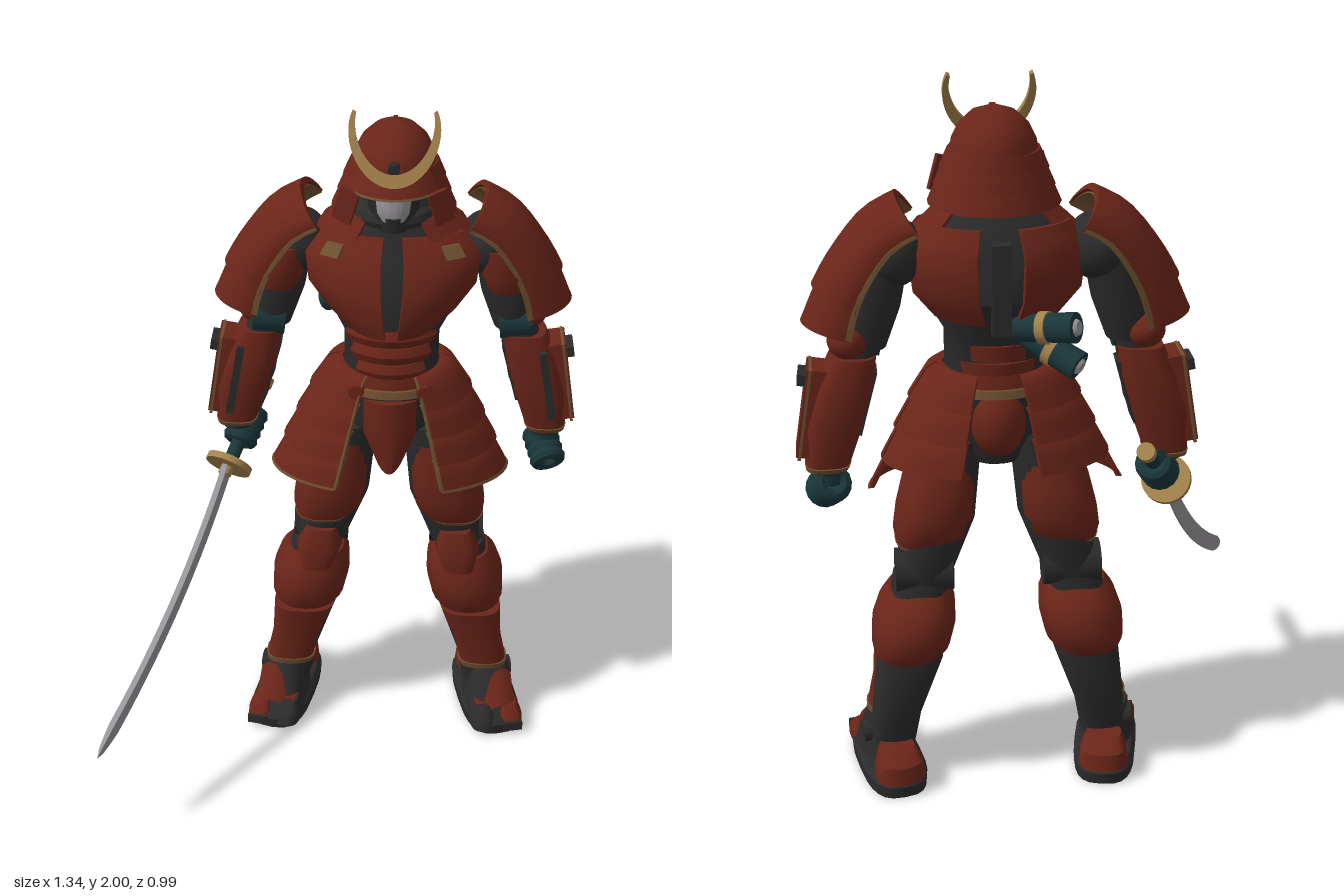
import * as THREE from 'three';
import { toCreasedNormals } from 'three/addons/utils/BufferGeometryUtils.js';

const mat = (name, color) => Object.assign(new THREE.MeshStandardMaterial({ color }), { name });
const V = (...p) => new THREE.Vector3(...p);

// Samples evenly spaced rows of numbers at v in 0..1
function sample(rows, v) {
  const f = Math.min(Math.max(v, 0), 1) * (rows.length - 1), i = Math.min(Math.floor(f), rows.length - 2);
  return rows[i].map((a, k) => a + (rows[i + 1][k] - a) * (f - i));
}
// Moves every vertex of a geometry by a rule
function warp(geo, rule) {
  const p = geo.attributes.position, q = V();
  for (let i = 0; i < p.count; i++) {
    q.copy(rule(q.fromBufferAttribute(p, i)));
    p.setXYZ(i, q.x, q.y, q.z);
  }
  return geo;
}
// Curved plate: rule(u, v, w), w runs through its thickness
const slab = (rule, nu = 12, nv = 6) =>
  warp(new THREE.BoxGeometry(1, 1, 1, nu, nv, 1), q => rule(q.x + 0.5, q.y + 0.5, q.z + 0.5));
// Plate wrapped round the body; angle 0 is the front, rows are [y, rx, rz, zCentre]
const wrap = (a0, a1, rows, t = 0.015) => slab((u, v, w) => {
  const [y, rx, rz, zc] = sample(rows, v), a = a0 + (a1 - a0) * u;
  return V((rx + w * t) * Math.sin(a), y, zc + (rz + w * t) * Math.cos(a));
}, 16, (rows.length - 1) * 2);
// Solid through superellipse sections [x, y, z, rx, rz]
const loft = (secs, p = 2.4) => {
  const f = c => Math.sign(c) * Math.abs(c) ** (2 / p);
  return warp(new THREE.CylinderGeometry(1, 1, 1, 24, secs.length - 1), q => {
    const [x, y, z, rx, rz] = sample(secs, q.y + 0.5);
    return V(x + rx * f(q.x), y, z + rz * f(q.z));
  });
};
const rod = (a, b, r1, r2 = r1, n = 18) => {
  const d = b.clone().sub(a), g = new THREE.CylinderGeometry(r2, r1, d.length(), n);
  g.applyQuaternion(new THREE.Quaternion().setFromUnitVectors(V(0, 1, 0), d.normalize()));
  const m = a.clone().add(b).multiplyScalar(0.5);
  return g.translate(m.x, m.y, m.z);
};
const ball = (x, y, z, rx, ry = rx, rz = rx) => new THREE.SphereGeometry(1, 20, 14).scale(rx, ry, rz).translate(x, y, z);
// Box tilted about z
const box = (x, y, z, w, h, d, tilt = 0) => new THREE.BoxGeometry(w, h, d).rotateZ(tilt).translate(x, y, z);
// Optional mirroring, outward winding and creased normals
function finish(src, mirror) {
  const g = src.index ? src.toNonIndexed() : src.clone();
  g.deleteAttribute('uv'); g.deleteAttribute('normal'); g.clearGroups();
  if (mirror) g.scale(-1, 1, 1);
  const p = g.attributes.position, a = V(), b = V(), c = V();
  let vol = 0;
  for (let i = 0; i < p.count; i += 3) {
    a.fromBufferAttribute(p, i); b.fromBufferAttribute(p, i + 1); c.fromBufferAttribute(p, i + 2);
    vol += a.dot(b.cross(c));
  }
  if (vol < 0) for (let i = 0; i < p.count; i += 3) {
    b.fromBufferAttribute(p, i + 1); c.fromBufferAttribute(p, i + 2);
    p.setXYZ(i + 1, c.x, c.y, c.z); p.setXYZ(i + 2, b.x, b.y, b.z);
  }
  return toCreasedNormals(g, 0.7);
}

export function createModel() {
  const red = mat('red lacquer', 0x6b2519), dark = mat('dark frame', 0x2b2b2b), gold = mat('gold', 0xa3824c);
  const trim = mat('bronze trim', 0x6f5030), teal = mat('dark teal', 0x1a363a), steel = mat('steel', 0x99969b);
  const model = new THREE.Group(), body = new THREE.Group();
  model.name = 'armouredWarrior'; body.name = 'body';
  body.position.x = 0.135;
  model.add(body);
  const add = (name, geo, m, parent = body, mirror = false) => {
    const mesh = new THREE.Mesh(finish(geo, mirror), m);
    mesh.name = name;
    parent.add(mesh);
  };
  const pair = (name, geo, m) => { add(name + 'Left', geo, m); add(name + 'Right', geo, m, body, true); };
  const PI = Math.PI;

  // Torso
  add('torsoFrame', loft([[0, 0.97, -0.2, 0.07, 0.09], [0, 1.1, -0.2, 0.15, 0.13], [0, 1.22, -0.2, 0.135, 0.125],
    [0, 1.34, -0.205, 0.135, 0.13], [0, 1.46, -0.235, 0.2, 0.18], [0, 1.58, -0.25, 0.22, 0.15],
    [0, 1.66, -0.25, 0.15, 0.11], [0, 1.74, -0.23, 0.07, 0.07]]), dark);
  pair('chestPlate', wrap(0.12, 1.15, [[1.37, 0.13, 0.18, -0.235], [1.42, 0.18, 0.19, -0.235], [1.5, 0.24, 0.185, -0.235],
    [1.58, 0.25, 0.15, -0.235], [1.64, 0.2, 0.1, -0.235]]), red);
  pair('chestTrim', wrap(0.6, 0.85, [[1.59, 0.258, 0.159, -0.235], [1.62, 0.233, 0.133, -0.235]], 0.009), trim);
  pair('backPlate', wrap(PI - 1.2, PI - 0.25, [[1.4, 0.16, 0.15, -0.235], [1.47, 0.22, 0.18, -0.235],
    [1.58, 0.235, 0.185, -0.235], [1.65, 0.19, 0.15, -0.235]]), red);
  add('spine', box(0, 1.5, -0.405, 0.05, 0.24, 0.04), dark);
  pair('collarPlate', wrap(0.5, 2.3, [[1.63, 0.2, 0.13, -0.25], [1.685, 0.14, 0.105, -0.25]]), red);
  add('neckRing', new THREE.TorusGeometry(0.095, 0.024, 8, 24).rotateX(PI / 2).translate(0, 1.685, -0.23), dark);
  for (let i = 0; i < 3; i++) {
    const y = 1.23 + i * 0.052, r = 0.122 + i * 0.006, a = 0.75 + i * 0.1;
    add('abdomenBand' + i, wrap(-a, a, [[y, r, 0.126, -0.2], [y + 0.025, r + 0.012, 0.136, -0.2], [y + 0.048, r, 0.126, -0.2]], 0.012), red);
  }
  for (let i = 0; i < 2; i++) {
    const y = 1.23 + i * 0.048;
    add('lowerBackBand' + i, wrap(PI - 0.85, PI + 0.85, [[y, 0.122, 0.126, -0.2], [y + 0.044, 0.127, 0.13, -0.2]], 0.012), red);
  }

  // Belt and layered skirt
  add('belt', wrap(-PI, PI, [[1.18, 0.155, 0.14, -0.2], [1.24, 0.14, 0.13, -0.2]], 0.012), red);
  for (const [side, a] of [['front', 0], ['rear', PI]])
    add(side + 'BeltChain', wrap(a - 0.5, a + 0.5, [[1.183, 0.168, 0.153, -0.2], [1.205, 0.161, 0.148, -0.2]], 0.009), trim);
  pair('beltBoss', rod(V(0.093, 1.2, -0.1), V(0.097, 1.2, -0.045), 0.026, 0.022), red);
  for (let i = 0; i < 4; i++) {
    const y = 1.24 - i * 0.087, at = (h, e) => {
      const s = (1.24 - h) / 0.35;
      return [h, 0.155 + 0.165 * s ** 0.85 + e, 0.135 + 0.045 * Math.sqrt(s) + e, -0.2 - 0.01 * s];
    };
    const rows = [at(y - 0.092, 0.012), at(y - 0.015, 0.004), at(y, -0.008)], a = 0.44 + 0.01 * i;
    pair('sideSkirt' + i, wrap(a, 1.62, rows), red);
    pair('skirtEdge' + i, wrap(a - 0.014, a + 0.01, rows, 0.016), trim);
    if (i < 3) pair('rearSkirt' + i, wrap(1.68, PI - 0.35, rows), red);
    else pair('skirtTrim', wrap(0.47, 1.62, [at(0.885, 0.013), at(0.892, 0.012)], 0.016), trim);
  }
  add('frontApron', slab((u, v, w) => {
    const h = 0.075 * Math.min(1, 0.45 + 1.1 * v), x = (u - 0.5) * 2;
    return V(x * h, 0.93 + 0.23 * v + 0.02 * x * x * (1 - v), -0.1 + 0.05 * w - 0.03 * x * x);
  }), red);
  add('rearApron', ball(0, 1.1, -0.3, 0.075, 0.1, 0.07), red);

  // Shoulder guards: broad upper shell and a lower strip on a bulging profile
  const profile = new THREE.SplineCurve([[0.25, 1.715], [0.33, 1.668], [0.4, 1.58], [0.45, 1.49], [0.485, 1.395]]
    .map(p => new THREE.Vector2(...p)));
  const guard = (v0, v1, s0, s1, t, lift) => slab((u, v, w) => {
    const s = s0 + (s1 - s0) * u, k = v0 + (v1 - v0) * v, { x, y } = profile.getPoint(k);
    const inset = (0.08 + 0.03 * k) * (1 - Math.cos(s * 1.4)) / 0.83, o = w * t + lift * v - inset;
    return V(x + o * (0.55 + 0.35 * k), y + o * (0.8 - 0.6 * k), -0.285 + (0.135 - 0.02 * k) * Math.sin(s * 1.35) / 0.976);
  }, 18, 8);
  pair('shoulderGuardUpper', guard(0, 0.76, -1, 1, 0.02, 0.012), red);
  pair('shoulderGuardLower', guard(0.74, 1, -1, 1, 0.02, 0.008), red);
  for (const s of [-1, 1]) pair('shoulderGuardTrim', guard(0.02, 0.98, s * 0.985, s * 1.012, 0.008, 0.006), trim);
  pair('shoulderLining', guard(0.04, 0.97, -0.96, 0.96, 0.005, -0.004).translate(-0.007, -0.006, 0), trim);

  // Arms
  pair('shoulderJoint', ball(0.265, 1.57, -0.27, 0.085, 0.09, 0.1), dark);
  pair('upperArm', loft([[0.345, 1.32, -0.27, 0.055, 0.06], [0.325, 1.43, -0.27, 0.075, 0.08], [0.29, 1.58, -0.27, 0.07, 0.075]]), dark);
  pair('bicepPlate', loft([[0.32, 1.45, -0.235, 0.05, 0.06], [0.312, 1.5, -0.235, 0.066, 0.08], [0.295, 1.58, -0.24, 0.06, 0.075]]), red);
  pair('elbowJoint', rod(V(0.305, 1.335, -0.25), V(0.395, 1.345, -0.25), 0.052), teal);
  pair('elbowGuard', ball(0.39, 1.345, -0.3, 0.055, 0.05, 0.06), red);
  pair('forearmCore', loft([[0.455, 0.97, -0.27, 0.045, 0.05], [0.41, 1.15, -0.27, 0.07, 0.07], [0.36, 1.33, -0.27, 0.05, 0.055]]), dark);
  pair('forearmShell', loft([[0.455, 1.0, -0.275, 0.06, 0.068], [0.435, 1.11, -0.275, 0.078, 0.082],
    [0.402, 1.22, -0.275, 0.076, 0.082], [0.38, 1.3, -0.275, 0.062, 0.07]], 3), red);
  const bracer = (x, y, w, h, d) => box(x, y, -0.275, w, h, d, 0.16);
  pair('bracerEdge', bracer(0.51, 1.15, 0.008, 0.254, 0.116), trim);
  pair('bracerPlate', bracer(0.492, 1.15, 0.054, 0.246, 0.108), red);
  pair('bracerSlot', bracer(0.498, 1.24, 0.054, 0.03, 0.08), dark);
  pair('forearmSlot', box(0.452, 1.15, -0.195, 0.022, 0.22, 0.014, 0.18), dark);
  pair('forearmInnerPanel', box(0.35, 1.17, -0.275, 0.02, 0.18, 0.08, 0.26), dark);
  pair('cuff', loft([[0.457, 0.985, -0.275, 0.058, 0.064], [0.455, 0.998, -0.275, 0.062, 0.07]], 3), trim);

  // Fists: curled fingers stacked along the grip
  const pommel = V(-0.25, 1.03, -0.4), hilt = V(-0.345, 0.86, -0.2), grip = hilt.clone().sub(pommel).normalize();
  const fist = (centre, dir, side) => {
    for (let i = 0; i < 4; i++) {
      const g = new THREE.TorusGeometry(0.034, 0.02, 8, 16);
      g.applyQuaternion(new THREE.Quaternion().setFromUnitVectors(V(0, 0, 1), dir));
      const c = centre.clone().addScaledVector(dir, (i - 1.5) * 0.028);
      add(side + 'Finger' + i, g.translate(c.x, c.y, c.z), teal, model);
    }
    add(side + 'Wrist', rod(centre.clone().add(V(0, 0.02, -0.01)), centre.clone().add(V(0, 0.1, -0.01)), 0.045, 0.036), teal, model);
  };
  fist(V(-0.3, 0.94, -0.295), grip, 'right');
  fist(V(0.592, 0.915, -0.255), V(0.25, -0.5, 0.8).normalize(), 'left');

  // Sword
  const along = (p, d) => p.clone().addScaledVector(grip, d);
  add('swordGrip', rod(pommel, hilt, 0.021), teal, model);
  add('swordPommel', rod(along(pommel, -0.015), along(pommel, 0.012), 0.025), gold, model);
  add('swordGuard', rod(along(hilt, -0.01), along(hilt, 0.01), 0.07, 0.07, 28), gold, model);
  add('swordCollar', rod(hilt, along(hilt, 0.035), 0.02), gold, model);
  const edge = new THREE.QuadraticBezierCurve3(hilt, V(-0.4725, 0.51, 0.1), V(-0.67, 0.3, 0.495));
  add('swordBlade', slab((u, v, w) => {
    const t = edge.getTangent(v), side = V(0, 1, 0).cross(t).normalize(), up = t.clone().cross(side);
    const taper = Math.sqrt(Math.min(1, (1 - v) / 0.1 + 0.002));
    return edge.getPoint(v).addScaledVector(up, (u - 0.5) * 0.05 * taper)
      .addScaledVector(side, (w - 0.5) * 0.018 * (0.3 + 0.7 * u) * taper);
  }, 2, 40), steel, model);

  // Scabbards behind the waist
  for (const [a, b] of [[V(0.09, 1.385, -0.37), V(-0.05, 1.41, -0.46)], [V(0.06, 1.36, -0.36), V(-0.06, 1.3, -0.445)]]) {
    const on = k => a.clone().lerp(b, k);
    add('scabbard', rod(a, b, 0.036, 0.04), teal, model);
    add('scabbardBand', rod(on(0.4), on(0.55), 0.043), gold, model);
    add('scabbardEnd', rod(on(0.97), on(1.05), 0.026, 0.018), steel, model);
  }

  // Head and helmet
  add('head', loft([[0, 1.66, -0.185, 0.045, 0.075], [0, 1.71, -0.2, 0.07, 0.095], [0, 1.84, -0.22, 0.095, 0.11]]), dark);
  add('faceMask', wrap(-0.6, 0.6, [[1.695, 0.04, 0.08, -0.19], [1.72, 0.065, 0.094, -0.2], [1.765, 0.075, 0.1, -0.21]], 0.012), steel);
  add('mouthGuard', wrap(-0.3, 0.3, [[1.69, 0.045, 0.086, -0.19], [1.71, 0.06, 0.098, -0.198]], 0.012), dark);
  add('helmetDome', loft([[0, 1.8, -0.235, 0.118, 0.138], [0, 1.85, -0.237, 0.11, 0.13], [0, 1.89, -0.237, 0.09, 0.105],
    [0, 1.92, -0.237, 0.058, 0.068], [0, 1.936, -0.237, 0.012, 0.014]], 2), red);
  add('helmetRidge', slab((u, v, w) => {
    const a = -1.1 + 2.2 * u, r = 0.1 + 0.007 * v;
    return V((w - 0.5) * 0.012, 1.832 + r * Math.cos(a), -0.237 + r * 1.2 * Math.sin(a));
  }, 16, 1), red);
  add('helmetBrim', wrap(-0.95, 0.95, [[1.775, 0.135, 0.162, -0.24], [1.84, 0.1, 0.115, -0.235]], 0.012), red);
  add('brimTrim', wrap(-0.95, 0.95, [[1.773, 0.137, 0.164, -0.24], [1.778, 0.135, 0.161, -0.24]], 0.013), trim);
  for (let i = 0; i < 3; i++) {
    const y = 1.83 - i * 0.045, r = 0.112 + i * 0.016;
    add('neckGuard' + i, wrap(0.85, 2 * PI - 0.85, [[y - 0.05, r + 0.018, r + 0.02, -0.24], [y, r - 0.004, r + 0.006, -0.24]], 0.012), red);
  }
  pair('cheekFlap', new THREE.BoxGeometry(0.055, 0.095, 0.014).rotateZ(0.3).rotateY(0.4).translate(0.128, 1.735, -0.125), red);
  add('crestBoss', rod(V(0, 1.85, -0.12), V(0, 1.85, -0.09), 0.016), dark);
  add('crescentCrest', slab((u, v, w) => {
    const a = (u - 0.5) * 4.5, h = 0.002 + 0.016 * Math.cos(a / 1.6), r = 0.113 + (v - 0.5) * 2 * h;
    return V(r * Math.sin(a * 0.85), -r * Math.cos(a), (w - 0.5) * 0.016);
  }, 36, 1).rotateX(-0.385).translate(0, 1.931, -0.116), gold);

  // Legs
  pair('hipJoint', ball(0.12, 1.0, -0.2, 0.09), dark);
  pair('thighFrame', loft([[0.205, 0.62, -0.22, 0.075, 0.085], [0.163, 0.8, -0.215, 0.103, 0.115], [0.12, 1.05, -0.2, 0.085, 0.1]]), dark);
  pair('thighPlate', loft([[0.195, 0.725, -0.205, 0.085, 0.1], [0.182, 0.76, -0.21, 0.104, 0.12], [0.17, 0.82, -0.215, 0.108, 0.13],
    [0.157, 0.9, -0.21, 0.101, 0.125], [0.142, 0.99, -0.2, 0.087, 0.105]], 2.6), red);
  pair('thighTrim', loft([[0.197, 0.718, -0.205, 0.081, 0.097], [0.195, 0.729, -0.205, 0.088, 0.104]], 2.6), trim);
  pair('kneeJoint', rod(V(0.125, 0.645, -0.245), V(0.285, 0.645, -0.245), 0.062), dark);
  pair('kneeCap', loft([[0.215, 0.555, -0.13, 0.045, 0.04], [0.208, 0.63, -0.135, 0.066, 0.05], [0.2, 0.69, -0.14, 0.045, 0.035]], 3), red);
  pair('shinFrame', loft([[0.3, 0.1, -0.215, 0.06, 0.07], [0.292, 0.2, -0.225, 0.07, 0.085], [0.25, 0.38, -0.235, 0.092, 0.1],
    [0.215, 0.62, -0.22, 0.075, 0.08]], 3), dark);
  pair('calfPlate', loft([[0.255, 0.375, -0.225, 0.088, 0.1], [0.246, 0.42, -0.228, 0.11, 0.138], [0.236, 0.49, -0.228, 0.117, 0.146],
    [0.226, 0.55, -0.222, 0.106, 0.125], [0.22, 0.585, -0.21, 0.085, 0.095]], 2.3), red);
  pair('greave', loft([[0.302, 0.19, -0.175, 0.072, 0.058], [0.282, 0.28, -0.172, 0.073, 0.06], [0.256, 0.4, -0.165, 0.092, 0.075]], 2.8), red);
  pair('greaveTrim', loft([[0.302, 0.178, -0.175, 0.074, 0.059], [0.3, 0.196, -0.175, 0.077, 0.062]], 2.8), trim);

  // Feet, turned slightly outward
  const foot = (name, geo, m) => pair(name, geo.rotateY(0.2).translate(0.318, 0, -0.205), m);
  foot('sole', loft([[0, 0, 0, 0.088, 0.19], [0, 0.035, 0, 0.09, 0.195], [0, 0.05, 0, 0.078, 0.18]], 3), dark);
  foot('instep', loft([[0, 0.04, 0.05, 0.082, 0.13], [0, 0.09, 0.035, 0.07, 0.095], [0, 0.17, 0.01, 0.06, 0.06]], 2.6), dark);
  foot('instepPlate', slab((u, v, w) => V(0.012 + (u - 0.5) * 0.1, 0.155 - 0.09 * v + 0.012 * w - 0.1 * (u - 0.5) ** 2,
    0.058 + 0.085 * v + 0.012 * w)), red);
  for (const [s, m] of [[-1, dark], [1, red]]) foot('toe', loft([[s * 0.044, 0.02, 0.135, 0.038, 0.064],
    [s * 0.044, 0.05, 0.13, 0.038, 0.06], [s * 0.042, 0.078, 0.115, 0.026, 0.04]], 3), m);
  foot('innerToeCap', box(-0.044, 0.079, 0.115, 0.036, 0.008, 0.05), red);
  foot('toeFront', box(0.044, 0.03, 0.197, 0.06, 0.03, 0.008), dark);
  foot('heel', loft([[0, 0.04, -0.125, 0.07, 0.068], [0, 0.09, -0.125, 0.066, 0.06], [0, 0.12, -0.1, 0.05, 0.04]], 2.6), red);
  for (const s of [-1, 1]) foot('ankleDisc', rod(V(s * 0.045, 0.12, 0), V(s * 0.075, 0.12, 0), 0.035, 0.03), dark);
  return model;
}
